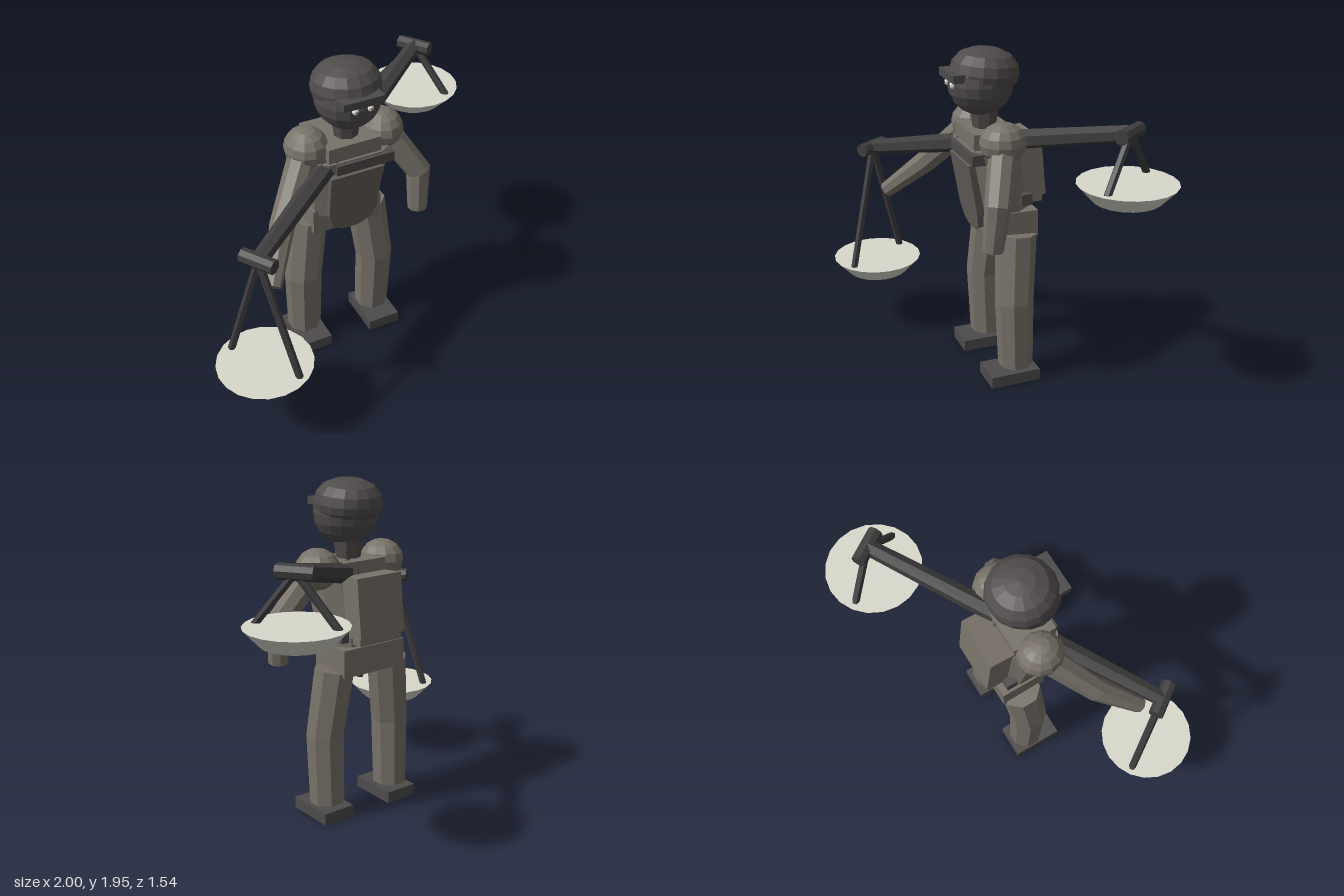
import * as THREE from 'three';

const mat = (name, color) => {
  const m = new THREE.MeshStandardMaterial({ color, flatShading: true });
  m.name = name;
  return m;
};

export function createModel() {
  const root = new THREE.Group();
  const cloth = mat('warm grey cloth', 0x787269);
  const apronMat = mat('apron grey', 0x625d59);
  const dark = mat('dark grey', 0x504c4b);
  const boot = mat('boot grey', 0x4d4b4b);
  const iron = mat('iron', 0x403e3f);
  const bowlMat = mat('pale metal', 0xd8d8cc);
  const eyeMat = mat('eye white', 0xe4e4e0);
  const V = (x, y, z) => new THREE.Vector3(x, y, z);
  const UP = V(0, 1, 0);

  const add = (name, geo, material, x = 0, y = 0, z = 0) => {
    const m = new THREE.Mesh(geo, material);
    m.name = name;
    m.position.set(x, y, z);
    root.add(m);
    return m;
  };
  const box = (name, material, w, h, d, x, y, z) =>
    add(name, new THREE.BoxGeometry(w, h, d), material, x, y, z);
  // Straight rod between two points
  const rod = (name, material, a, b, ra, rb, sides = 6) => {
    const m = add(name, new THREE.CylinderGeometry(rb, ra, a.distanceTo(b), sides), material);
    m.position.copy(a).add(b).multiplyScalar(0.5);
    m.quaternion.setFromUnitVectors(UP, b.clone().sub(a).normalize());
    return m;
  };
  // Bent limb: rings of vertices mitred along three joints
  const limb = (name, pts, radii, sides) => {
    const geo = new THREE.CylinderGeometry(1, 1, 2, sides, 2);
    geo.rotateY(Math.PI / sides);
    const p = geo.attributes.position;
    const dirs = pts.map((_, i) => pts[Math.max(i - 1, 0)].clone()
      .sub(pts[Math.min(i + 1, 2)]).normalize());
    for (let i = 0; i < p.count; i++) {
      const k = Math.round(1 - p.getY(i));
      const q = new THREE.Quaternion().setFromUnitVectors(UP, dirs[k]);
      const v = V(p.getX(i), 0, p.getZ(i)).multiplyScalar(radii[k]).applyQuaternion(q).add(pts[k]);
      p.setXYZ(i, v.x, v.y, v.z);
    }
    geo.computeVertexNormals();
    return add(name, geo, cloth);
  };

  // Legs, boots, shoulders and hip pouches
  for (const s of [1, -1]) {
    const side = s > 0 ? 'left' : 'right';
    limb(side + 'Leg', [V(s * 0.19, 0.9, -0.09), V(s * 0.24, 0.5, -0.062), V(s * 0.237, 0.09, -0.075)],
      [0.118, 0.112, 0.103], 8);
    box(side + 'Boot', boot, 0.203, 0.07, 0.302, s * 0.236, 0.035, -0.04);
    add(side + 'Shoulder', new THREE.SphereGeometry(1, 12, 8), cloth, s * 0.23, 1.462, 0.01)
      .scale.set(0.125, 0.118, 0.134);
    box(side + 'Pouch', dark, 0.05, 0.065, 0.065, s * 0.182, 1.1, -0.15);
  }

  // Arms
  limb('leftArm', [V(0.24, 1.46, 0.01), V(0.425, 1.17, 0.115), V(0.418, 0.92, 0.14)],
    [0.08, 0.074, 0.058], 8);
  limb('rightArm', [V(-0.24, 1.46, 0.01), V(-0.48, 1.16, 0.23), V(-0.635, 0.95, 0.44)],
    [0.08, 0.07, 0.05], 8);

  // Pelvis and forward-leaning torso with chamfered corners
  box('pelvis', cloth, 0.43, 0.16, 0.27, 0, 0.955, -0.08);
  const outline = new THREE.Shape([[0.16, 0.14], [-0.16, 0.14], [-0.235, 0.06], [-0.235, -0.09],
    [-0.16, -0.14], [0.16, -0.14], [0.235, -0.09], [0.235, 0.06]].map(([x, y]) => new THREE.Vector2(x, y)));
  const torso = new THREE.ExtrudeGeometry(outline, { depth: 0.41, bevelEnabled: false });
  torso.rotateX(-Math.PI / 2);
  const tp = torso.attributes.position;
  for (let i = 0; i < tp.count; i++) {
    const t = tp.getY(i) / 0.41;
    tp.setXYZ(i, tp.getX(i) * (0.85 + 0.15 * t), 1.0 + 0.41 * t, tp.getZ(i) - 0.05 + 0.075 * t);
  }
  torso.computeVertexNormals();
  add('torso', torso, cloth);
  box('upperChest', cloth, 0.32, 0.13, 0.26, 0, 1.435, 0.02);
  box('chestYoke', dark, 0.35, 0.06, 0.1, 0.05, 1.373, 0.135);

  // Rounded apron leaning with the chest
  const apron = new THREE.Shape([[-0.16, 0.43], [-0.15, 0.12], [-0.12, 0.04], [-0.06, 0.005], [0, 0],
    [0.06, 0.005], [0.12, 0.04], [0.15, 0.12], [0.16, 0.43]].map(([x, y]) => new THREE.Vector2(x, y)));
  const panel = add('apron', new THREE.ExtrudeGeometry(apron, { depth: 0.06, bevelEnabled: false }),
    apronMat, 0, 0.91, 0.05);
  panel.rotation.x = 0.17;

  // Backpack
  const pack = box('backpack', cloth, 0.31, 0.34, 0.15, 0, 1.265, -0.195);
  pack.rotation.x = 0.1;
  box('packBase', cloth, 0.29, 0.05, 0.07, 0, 1.085, -0.235);

  // Neck, head, cap and eyes
  add('neck', new THREE.CylinderGeometry(0.086, 0.07, 0.12, 8), dark, 0, 1.555, 0.03);
  add('head', new THREE.SphereGeometry(0.187, 16, 10), dark, 0, 1.757, 0.053);
  const capProfile = [[0, -0.025], [0.165, -0.025], [0.187, 0], [0.195, 0.042], [0.183, 0.094],
    [0.145, 0.14], [0.08, 0.168], [0, 0.177]].map(([x, y]) => new THREE.Vector2(x, y));
  const cap = add('cap', new THREE.LatheGeometry(capProfile, 16), dark, 0, 1.77, 0.032);
  cap.rotation.x = -0.08;
  box('capBrim', boot, 0.24, 0.044, 0.09, 0, 1.806, 0.207);
  for (const s of [1, -1]) {
    const side = s > 0 ? 'left' : 'right';
    add(side + 'Eye', new THREE.SphereGeometry(0.02, 8, 6), eyeMat, s * 0.043, 1.76, 0.229);
    add(side + 'Pupil', new THREE.SphereGeometry(0.006, 6, 4), iron, s * 0.043, 1.76, 0.246);
  }

  // Balance beam across the shoulders
  const low = V(-0.725, 1.21, 0.495), high = V(0.725, 1.605, -0.495);
  const across = V(0.565, 0, 0.825);
  const mid = low.clone().lerp(high, 0.5);
  rod('beamRight', iron, low, mid, 0.045, 0.06);
  rod('beamLeft', iron, high, mid, 0.045, 0.06);
  rod('beamCollar', iron, low.clone().lerp(high, 0.4), low.clone().lerp(high, 0.56), 0.08, 0.08);

  // End hubs, hangers and pans
  for (const [side, hub, top] of [['right', low, 0.477], ['left', high, 1.335]]) {
    rod(side + 'Hub', iron, hub.clone().addScaledVector(across, -0.1),
      hub.clone().addScaledVector(across, 0.1), 0.042, 0.042, 8);
    for (const s of [1, -1]) {
      const foot = hub.clone().addScaledVector(across, s * 0.225);
      foot.y = top - 0.01;
      rod(side + 'Hanger', iron, hub, foot, 0.022, 0.022);
    }
    add(side + 'Pan', new THREE.CylinderGeometry(0.274, 0.186, 0.094, 20), bowlMat, hub.x, top - 0.047, hub.z);
  }
  return root;
}
